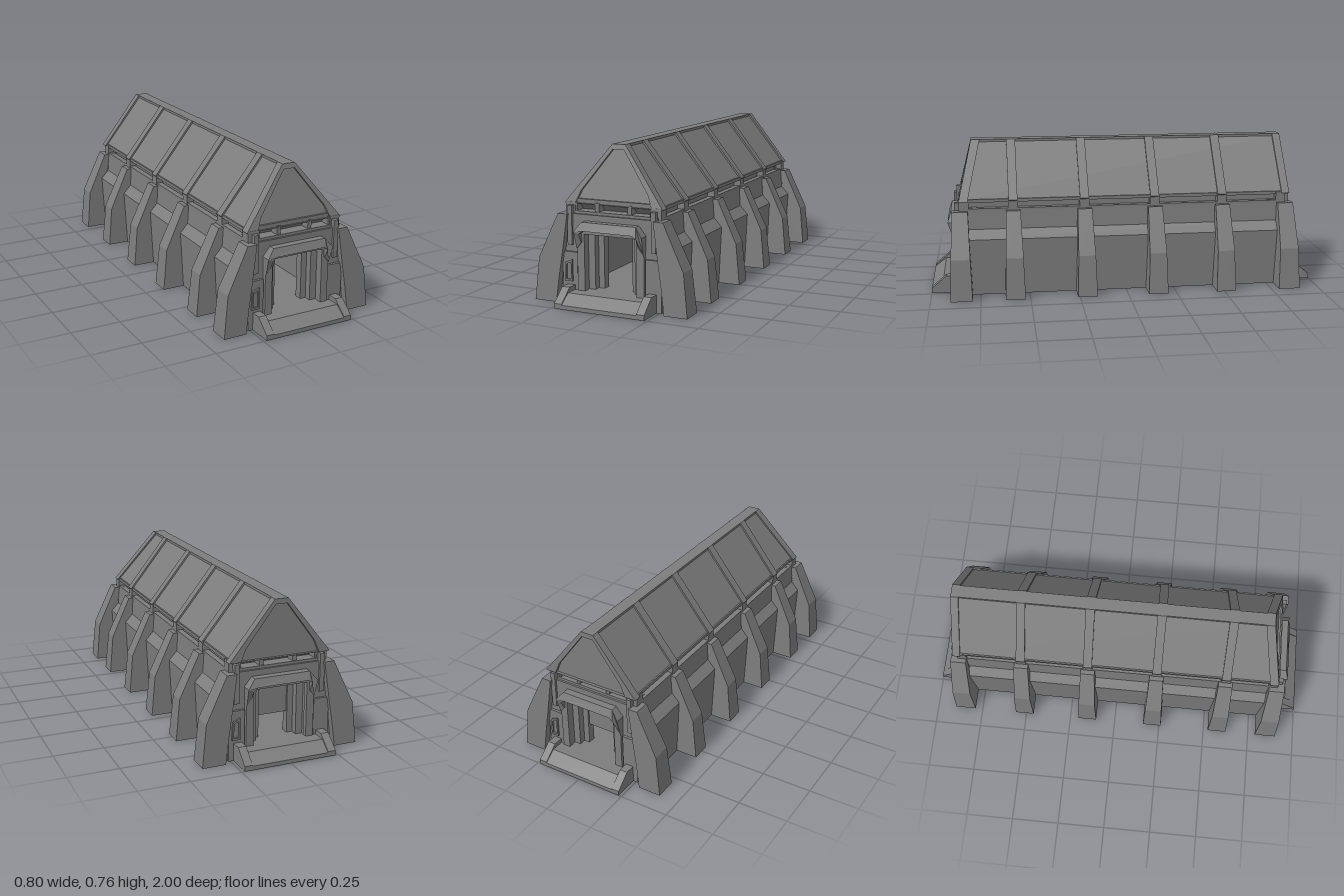
import * as THREE from 'three';

const concrete = new THREE.MeshStandardMaterial({ color: 0x7d7d7d });
concrete.name = 'concrete grey';

function add(parent, name, geometry) {
  const mesh = new THREE.Mesh(geometry, concrete);
  mesh.name = name;
  parent.add(mesh);
  return mesh;
}

// Box given by its limits
function block(parent, name, x0, x1, y0, y1, z0, z1) {
  const g = new THREE.BoxGeometry(x1 - x0, y1 - y0, z1 - z0);
  g.translate((x0 + x1) / 2, (y0 + y1) / 2, (z0 + z1) / 2);
  return add(parent, name, g);
}

const outline = (pts) => pts.map(([x, y]) => new THREE.Vector2(x, y));
const mirrored = (half) => [...half, ...half.map(([x, y]) => [-x, y]).reverse()];

// Outline in x and y, extruded from z0 to z1, with an optional rule that moves each point
function slab(parent, name, pts, z0, z1, hole, rule) {
  const shape = new THREE.Shape(outline(pts));
  if (hole) shape.holes.push(new THREE.Path(outline(hole)));
  const g = new THREE.ExtrudeGeometry(shape, { depth: z1 - z0, bevelEnabled: false });
  g.translate(0, 0, z0);
  if (rule) {
    const p = g.attributes.position;
    for (let i = 0; i < p.count; i++) p.setZ(i, rule(p.getZ(i), p.getY(i)));
    g.computeVertexNormals();
  }
  return add(parent, name, g);
}

// Outline in z and y, extruded across x
function crossSlab(parent, name, pts, x0, x1) {
  const g = new THREE.ExtrudeGeometry(new THREE.Shape(outline(pts)), { depth: x1 - x0, bevelEnabled: false });
  g.rotateY(-Math.PI / 2);
  g.translate(x1, 0, 0);
  return add(parent, name, g);
}

const rect = (w, y0, y1) => [[w, y0], [w, y1], [-w, y1], [-w, y0]];

// One end of the building: wall, doorway, step and small windows
function entrance(name) {
  const e = new THREE.Group();
  e.name = name;
  slab(e, 'endWall', mirrored([[0.29, 0], [0.29, 0.25], [0.24, 0.43]]), 0.8, 0.86, rect(0.14, 0.065, 0.34));
  slab(e, 'innerDoorFrame', rect(0.15, 0.06, 0.36), 0.76, 0.8, rect(0.075, 0.065, 0.34));
  slab(e, 'middleDoorFrame', rect(0.145, 0.06, 0.35), 0.8, 0.835, rect(0.105, 0.065, 0.34));
  slab(e, 'outerDoorFrame', mirrored([[0.175, 0], [0.175, 0.35], [0.14, 0.385]]), 0.855, 0.88, rect(0.137, 0.065, 0.34));
  // Hood with a sloping top
  slab(e, 'doorHood', [
    [0.175, 0.27], [0.178, 0.355], [0.142, 0.4], [-0.142, 0.4], [-0.178, 0.355], [-0.175, 0.27],
    [-0.15, 0.3], [-0.15, 0.345], [-0.13, 0.36], [0.13, 0.36], [0.15, 0.345], [0.15, 0.3],
  ], 0.855, 0.91, null, (z, y) => (z > 0.9 ? (y > 0.38 ? 0.895 : y < 0.32 ? 0.885 : 0.91) : z));
  // Step with a sloping front
  crossSlab(e, 'entranceStep', [[0.8, 0], [1, 0], [1, 0.02], [0.94, 0.065], [0.8, 0.065]], -0.225, 0.225);
  for (const s of [-1, 1]) {
    const a = s * 0.215;
    crossSlab(e, 'stepCheek', [[0.85, 0], [1, 0], [1, 0.025], [0.925, 0.088], [0.85, 0.088]], a - 0.02, a + 0.02);
    const b = s * 0.22;
    block(e, 'wallPanel', b - 0.04, b + 0.04, 0, 0.247, 0.85, 0.873);
    block(e, 'wallPost', b - 0.012, b + 0.012, 0.28, 0.47, 0.83, 0.872);
    block(e, 'windowMullion', s * 0.085 - 0.01, s * 0.085 + 0.01, 0.43, 0.485, 0.77, 0.845);
    block(e, 'windowEndPost', s * 0.205 - 0.015, s * 0.205 + 0.015, 0.43, 0.485, 0.77, 0.845);
  }
  // Raised control panel beside the door
  slab(e, 'controlPanel', [[-0.205, 0.105], [-0.205, 0.212], [-0.242, 0.195], [-0.246, 0.105]], 0.87, 0.882,
    [[-0.212, 0.115], [-0.212, 0.198], [-0.235, 0.187], [-0.238, 0.115]]);
  block(e, 'windowSill', -0.235, 0.235, 0.42, 0.443, 0.76, 0.85);
  block(e, 'windowHead', -0.225, 0.225, 0.475, 0.5, 0.76, 0.84);
  const panes = block(e, 'windowPanes', -0.2, 0.2, -0.04, 0.04, -0.01, 0.01);
  panes.position.set(0, 0.458, 0.79);
  panes.rotation.x = 0.7;
  return e;
}

export function createModel() {
  const model = new THREE.Group();
  model.name = 'ribbedBunker';

  // Hollow hall with chamfered side walls
  slab(model, 'hall', mirrored([[0.29, 0], [0.3, 0.29], [0.258, 0.335], [0.25, 0.43]]), -0.81, 0.81, rect(0.2, 0.065, 0.4));
  block(model, 'sideWindowBand', -0.215, 0.215, 0.42, 0.49, -0.77, 0.77);

  // Ends
  const front = entrance('frontEntrance');
  const back = entrance('backEntrance');
  back.rotation.y = Math.PI;
  block(back, 'halfRaisedShutter', -0.08, 0.08, 0.172, 0.345, 0.77, 0.79);
  model.add(front, back);

  // Roof, leaning back at the front
  const lean = (z, y) => (z > 0.75 ? z - Math.max(0, y - 0.475) * 0.24 : z);
  slab(model, 'roof', mirrored([[0.24, 0.475], [0.243, 0.485], [0.03, 0.75]]), -0.855, 0.835, null, lean);
  const rim = mirrored([[0.25, 0.44], [0.258, 0.48], [0.034, 0.76]]);
  const band = mirrored([[0.25, 0.475], [0.256, 0.482], [0.034, 0.76]]);
  const gable = mirrored([[0.2, 0.48], [0.175, 0.54], [0.03, 0.735]]);
  const rimOutline = mirrored([[0.258, 0.478], [0.034, 0.76]]);
  slab(model, 'frontRoofRim', rimOutline, 0.805, 0.85, gable, lean);
  slab(model, 'backRoofRim', rimOutline, -0.87, -0.83, gable);
  block(model, 'roofRidge', -0.032, 0.032, 0.735, 0.76, -0.85, 0.77);

  // Buttresses, brackets and roof bands
  for (const zc of [0.845, 0.575, 0.21, -0.155, -0.51, -0.845]) {
    const end = Math.abs(zc) > 0.8;
    const half = end ? 0.055 : 0.05;
    const taper = (z, y) => zc + (z - zc) * (1 - 0.6 * y);
    for (const s of [-1, 1]) {
      const pts = [[0.285, 0], [0.402, 0], [0.38, 0.21], [0.275, 0.43], [0.225, 0.43], [0.25, 0.25], [0.27, 0.12]];
      slab(model, 'buttress', pts.map(([x, y]) => [x * s, y]), zc - half, zc + half, null, taper);
      const zb = end ? zc * 0.975 : zc;
      const x0 = s > 0 ? 0.2 : -0.252;
      block(model, 'eaveBracket', x0, x0 + 0.052, 0.42, 0.485, zb - 0.025, zb + 0.025);
    }
    if (!end) slab(model, 'roofBand', band, zc - 0.023, zc + 0.023);
  }

  // Sill and roof edge along both sides
  for (const s of [-1, 1]) {
    block(model, 'sideSill', s * 0.235 - 0.015, s * 0.235 + 0.015, 0.425, 0.441, -0.8, 0.8);
    block(model, 'roofEdge', s * 0.236 - 0.012, s * 0.236 + 0.012, 0.472, 0.488, -0.84, 0.82);
  }
  return model;
}
